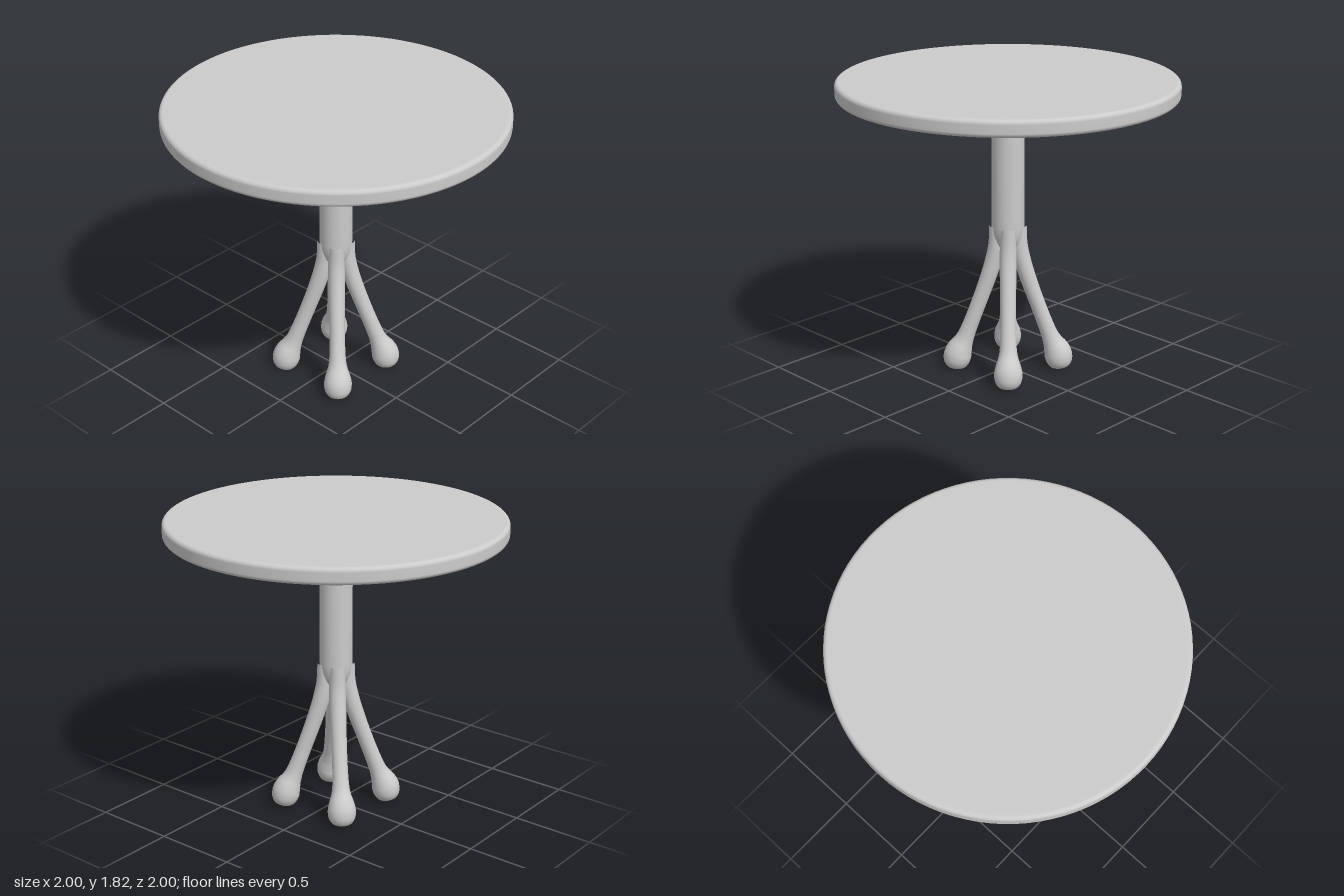
import * as THREE from 'three';
import { mergeVertices } from 'three/addons/utils/BufferGeometryUtils.js';

const material = new THREE.MeshStandardMaterial({ color: 0xcccccc });
const v2 = (pts) => pts.map(([x, y]) => new THREE.Vector2(x, y));

function turned(name, profile, segments) {
  const mesh = new THREE.Mesh(new THREE.LatheGeometry(v2(profile), segments), material);
  mesh.name = name;
  return mesh;
}

// Quarter-round corner points, from angle a0 to a1 around (cx, cy)
function corner(cx, cy, r, a0, a1, n = 6) {
  return Array.from({ length: n + 1 }, (_, i) => {
    const a = a0 + ((a1 - a0) * i) / n;
    return [cx + r * Math.cos(a), cy + r * Math.sin(a)];
  });
}

// A turned leg profile bent along a curve that swings outward (x) and down (y)
function legGeometry() {
  const path = new THREE.CatmullRomCurve3(
    [[0.066, 0.92], [0.069, 0.8], [0.088, 0.7], [0.117, 0.6], [0.187, 0.4],
      [0.262, 0.2], [0.308, 0.09], [0.318, 0]].map(([x, y]) => new THREE.Vector3(x, y, 0))
  );
  const length = path.getLength();
  // [radius, distance from the sole]
  const outline = new THREE.SplineCurve(v2([
    [0, 0], [0.035, 0.002], [0.062, 0.014], [0.08, 0.045], [0.085, 0.08], [0.082, 0.11],
    [0.073, 0.145], [0.06, 0.185], [0.051, 0.24], [0.047, 0.35], [0.047, 0.5],
    [0.05, 0.68], [0.05, 0.8], [0.046, length]
  ])).getPoints(70);
  outline.forEach((p) => { p.x = Math.max(p.x, 0); });

  let geo = new THREE.LatheGeometry(outline, 28);
  const pos = geo.attributes.position;
  for (let i = 0; i < pos.count; i++) {
    const u = THREE.MathUtils.clamp(1 - pos.getY(i) / length, 0, 1);
    const c = path.getPointAt(u);
    const t = path.getTangentAt(u);
    const r = pos.getX(i);
    // the sole is flattened on the floor
    pos.setXYZ(i, c.x - t.y * r, Math.max(0, c.y + t.x * r), pos.getZ(i));
  }
  geo.deleteAttribute('uv');
  geo.deleteAttribute('normal');
  geo = mergeVertices(geo, 1e-5);
  geo.computeVertexNormals();
  return geo;
}

export function createModel() {
  const table = new THREE.Group();
  table.name = 'pedestalTable';
  const H = Math.PI / 2;

  // Round top with softened rim
  table.add(turned('tableTop', [
    [0, 1.727], [0.4, 1.727], [0.6, 1.724], [0.96, 1.722],
    ...corner(0.975, 1.747, 0.025, -H, 0),
    ...corner(0.975, 1.795, 0.025, 0, H),
    [0.96, 1.82], [0, 1.82]
  ], 96));

  // Stepped mounting collar under the top
  table.add(turned('collar', [
    [0, 1.593], [0.125, 1.593],
    ...corner(0.134, 1.603, 0.01, -H, 0, 4),
    [0.148, 1.625], [0.151, 1.64], [0.16, 1.653], [0.185, 1.662], [0.24, 1.669], [0.3, 1.677],
    [0.325, 1.683], [0.338, 1.692], [0.345, 1.705], [0.352, 1.716], [0.37, 1.722], [0.45, 1.726], [0.45, 1.73]
  ], 64));

  // Post, closing to a point where the legs part
  table.add(turned('post', [
    [0, 0.725], [0.02, 0.745], [0.05, 0.775], [0.075, 0.81], [0.092, 0.86], [0.098, 0.92],
    [0.098, 1.2], [0.098, 1.6]
  ], 40));

  // Four legs set on the diagonals
  const geo = legGeometry();
  ['frontLeftLeg', 'frontRightLeg', 'backRightLeg', 'backLeftLeg'].forEach((name, i) => {
    const leg = new THREE.Mesh(geo, material);
    leg.name = name;
    leg.rotation.y = -Math.PI / 4 - i * H;
    table.add(leg);
  });

  return table;
}
